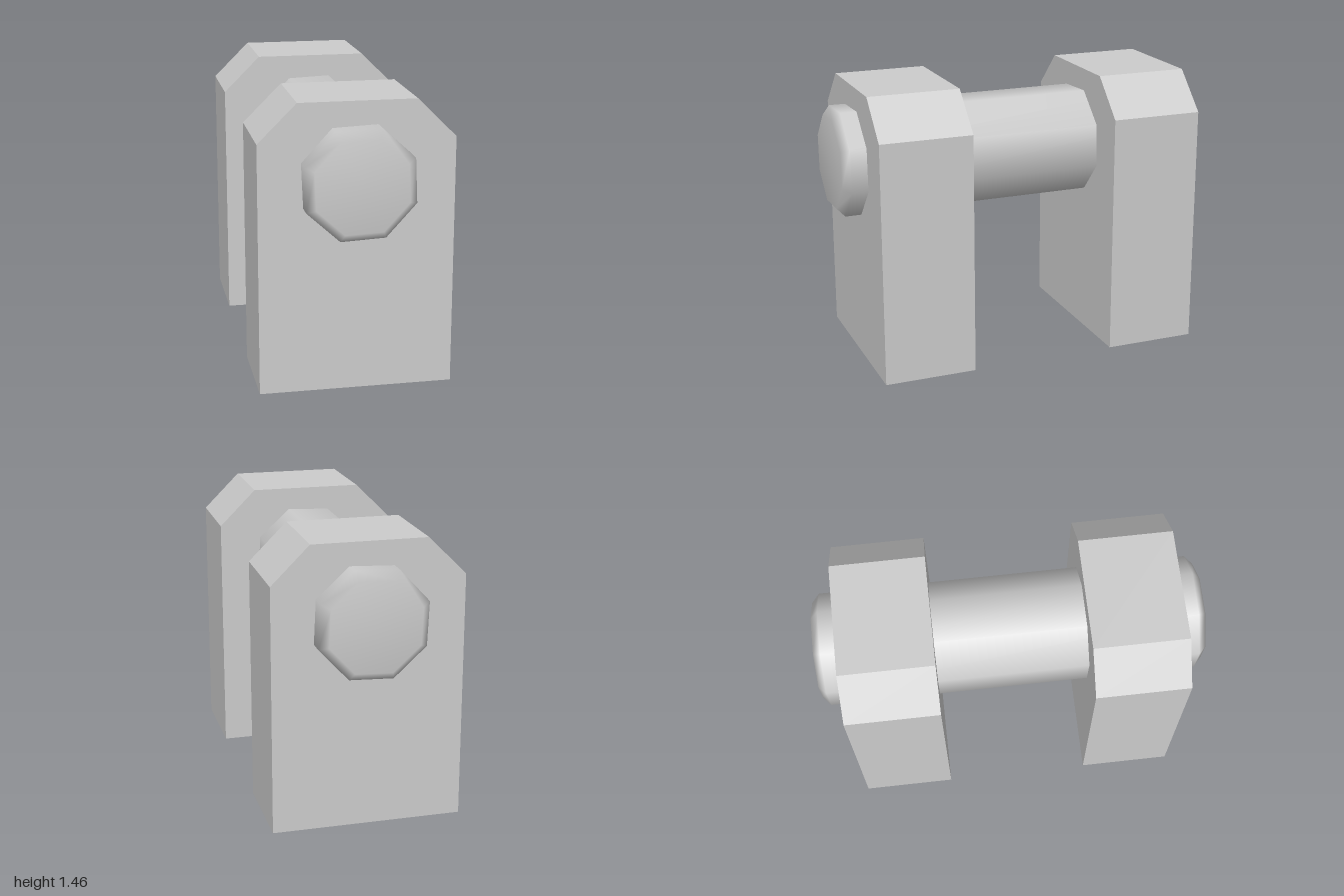
import * as THREE from 'three';

export function createModel() {
  const group = new THREE.Group();
  const grey = new THREE.MeshStandardMaterial({ color: 0xcccccc });
  const flatGrey = new THREE.MeshStandardMaterial({ color: 0xcccccc, flatShading: true });

  // Two upright plates with chamfered top corners
  const outline = new THREE.Shape([
    [-0.487, 0], [0.487, 0], [0.487, 1.27], [0.293, 1.463], [-0.293, 1.463], [-0.487, 1.27],
  ].map(([x, y]) => new THREE.Vector2(x, y)));
  const depth = 0.486;
  const plateGeometry = new THREE.ExtrudeGeometry(outline, { depth, bevelEnabled: false });
  plateGeometry.translate(0, 0, -depth / 2);
  for (const [name, side] of [['frontPost', 1], ['backPost', -1]]) {
    const post = new THREE.Mesh(plateGeometry, flatGrey);
    post.name = name;
    post.position.z = side * 0.632;
    group.add(post);
  }

  // Eight-sided smooth pin through both posts, with bevelled ends
  const profile = [
    [0, -1], [0.247, -1], [0.293, -0.96], [0.293, 0.96], [0.247, 1], [0, 1],
  ].map(([r, y]) => new THREE.Vector2(r, y));
  const pinGeometry = new THREE.LatheGeometry(profile, 8, THREE.MathUtils.degToRad(25));
  pinGeometry.rotateX(Math.PI / 2);
  const pin = new THREE.Mesh(pinGeometry, grey);
  pin.name = 'crossPin';
  pin.position.y = 1.07;
  group.add(pin);

  return group;
}
